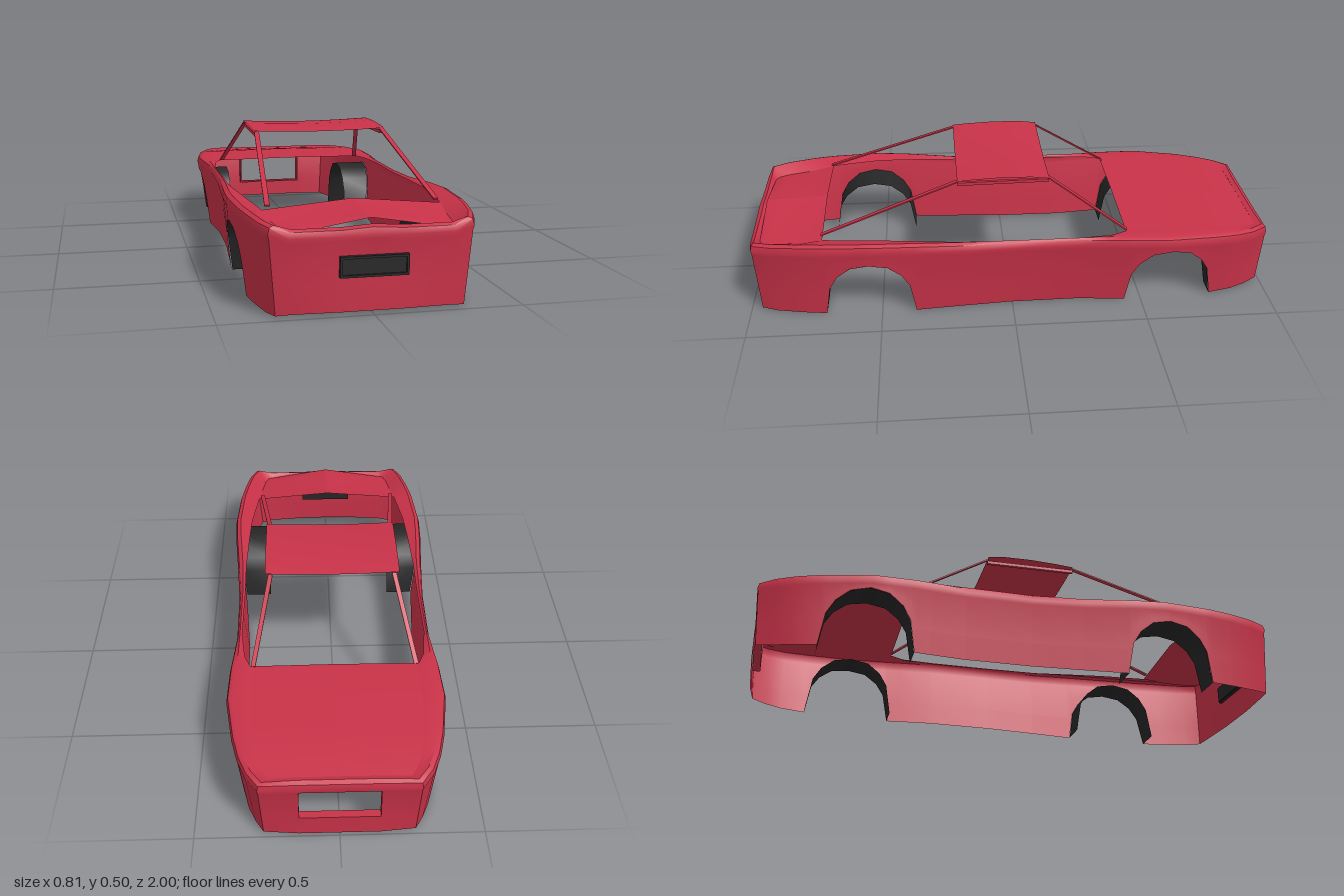
import * as THREE from 'three';
import { toCreasedNormals } from 'three/addons/utils/BufferGeometryUtils.js';

const red = new THREE.MeshStandardMaterial({ color: 0xc83248, side: THREE.DoubleSide });
const black = new THREE.MeshStandardMaterial({ color: 0x262626, side: THREE.DoubleSide });

// Flank stations, front to back: z, half width, top height, inner edge x, inner edge y
const FLANK = [
  [0.9, 0.362, 0.3, 0.285, 0.268],
  [0.8, 0.382, 0.305, 0.3, 0.275],
  [0.71, 0.395, 0.307, 0.31, 0.291],
  [0.52, 0.407, 0.308, 0.335, 0.296],
  [0.4, 0.402, 0.303, 0.342, 0.292],
  [0.2, 0.386, 0.29, 0.35, 0.283],
  [0, 0.372, 0.285, 0.348, 0.278],
  [-0.25, 0.37, 0.285, 0.35, 0.277],
  [-0.38, 0.382, 0.285, 0.335, 0.278],
  [-0.44, 0.388, 0.285, 0.31, 0.28],
  [-0.6, 0.394, 0.282, 0.31, 0.277],
  [-0.78, 0.368, 0.272, 0.3, 0.27],
  [-0.87, 0.346, 0.265, 0.28, 0.26],
];

// Wheel arch openings: offset from centre z, height
const ARCH = [[0.17, 0], [0.15, 0.12], [0.12, 0.17], [0.07, 0.21], [0, 0.223],
  [-0.07, 0.21], [-0.12, 0.17], [-0.15, 0.12], [-0.17, 0]];
const ARCH_Z = [0.54, -0.606];

function interp(table, z) {
  const i = Math.max(1, table.findIndex((r) => r[0] <= z + 1e-6));
  const a = table[i - 1], b = table[i];
  const t = (a[0] - z) / (a[0] - b[0]);
  return a.map((v, k) => v + (b[k] - v) * t);
}

function bottomAt(z) {
  const c = ARCH_Z.find((c) => Math.abs(z - c) < 0.17);
  return c === undefined ? 0 : interp(ARCH, z - c)[1];
}

// Surface through rows of [x, y, z] points, mirrored when s is -1
function surface(rows, s = 1, skip = () => false, crease = 0.6) {
  const n = rows[0].length, index = [];
  for (let i = 0; i < rows.length - 1; i++) {
    for (let j = 0; j < n - 1; j++) {
      if (skip(i, j)) continue;
      const a = i * n + j, b = a + n, c = b + 1, d = a + 1;
      index.push(...(s > 0 ? [a, b, c, a, c, d] : [a, c, b, a, d, c]));
    }
  }
  const g = new THREE.BufferGeometry();
  const pos = rows.flat().flatMap(([x, y, z]) => [x * s, y, z]);
  g.setAttribute('position', new THREE.Float32BufferAttribute(pos, 3));
  g.setIndex(index);
  return toCreasedNormals(g, crease);
}

// Half outline of the shell: corner stations around the interpolated flank
function stations() {
  const st = (x, z, top, xi, zi, yi, bottom) => ({ x, z, top, xi, zi, yi, bottom });
  const zs = FLANK.map((r) => r[0]);
  ARCH_Z.forEach((c) => ARCH.forEach(([dz]) => zs.push(c + dz)));
  zs.sort((a, b) => b - a);
  const flank = zs.filter((z, i) => i === 0 || zs[i - 1] - z > 0.004).map((z) => {
    const [, w, top, xi, yi] = interp(FLANK, z);
    return st(w, z, top, xi, z, yi, bottomAt(z));
  });
  return [
    st(0, 0.988, 0.287, 0, 0.95, 0.28, 0.01),
    st(0.1, 0.988, 0.28, 0.1, 0.95, 0.272, 0.01),
    st(0.27, 0.985, 0.28, 0.25, 0.95, 0.262, 0.008),
    st(0.335, 0.972, 0.295, 0.272, 0.94, 0.264, 0.003),
    ...flank,
    st(0.318, -0.94, 0.26, 0.262, -0.925, 0.253, 0.003),
    st(0.275, -1, 0.256, 0.24, -0.96, 0.248, 0.01),
    st(0.14, -1, 0.256, 0.14, -0.96, 0.25, 0.01),
    st(0, -1, 0.256, 0, -0.96, 0.251, 0.01),
  ];
}

// Cross-section of the shell at a station, from sill to inner edge
function section(p) {
  const dx = p.xi - p.x, dz = p.zi - p.z, len = Math.hypot(dx, dz);
  const ux = dx / len, uz = dz / len, shoulder = p.top - 0.043;
  const at = (inset, y) => [p.x + ux * inset, y, p.z + uz * inset];
  const wall = (t) => {
    const y = p.bottom + (shoulder - p.bottom) * t;
    return at(0.004 + 0.026 * Math.abs(ux) * (1 - y / shoulder), y);
  };
  return [wall(0), wall(0.37), wall(1), at(0, shoulder + 0.016), at(0.006, p.top - 0.007),
    at(Math.min(0.022, len * 0.6), p.top), [p.xi, p.yi, p.zi]];
}

// Panel row from the inner edge to the centre line
function panelRow(p, crown) {
  return [1, 0.75, 0.5, 0.25, 0].map((t) => [p.xi * t, p.yi + crown * (1 - t), p.zi]);
}

// Rectangular frame with an opening
function frame(w, h, border, depth) {
  const rect = (S, a, b) => new S([[-a, -b], [a, -b], [a, b], [-a, b]].map(([x, y]) => new THREE.Vector2(x, y)));
  const shape = rect(THREE.Shape, w / 2, h / 2);
  shape.holes.push(rect(THREE.Path, w / 2 - border, h / 2 - border));
  return new THREE.ExtrudeGeometry(shape, { depth, bevelEnabled: false });
}

export function createModel() {
  const model = new THREE.Group();
  const add = (name, geometry, material = red) => {
    const m = new THREE.Mesh(geometry, material);
    m.name = name;
    model.add(m);
    return m;
  };
  // Thin flat bar between two points
  const bar = (name, a, b, w, t) => {
    const A = new THREE.Vector3(...a), B = new THREE.Vector3(...b);
    const m = add(name, new THREE.BoxGeometry(w, t, A.distanceTo(B)));
    m.position.copy(A).lerp(B, 0.5);
    m.lookAt(B);
  };

  const all = stations();
  const rows = all.map(section);
  const grille = (i, j) => i === rows.length - 2 && j === 1;
  const frontDeck = all.filter((p) => p.zi > 0.705 && p.x > 0.2)
    .map((p) => panelRow(p, 0.028 + 0.055 * (p.zi - 0.71)));
  const rearDeck = all.filter((p) => p.zi < -0.435 && p.x > 0.2).map((p) => panelRow(p, 0.003));

  for (const s of [1, -1]) {
    const side = s > 0 ? 'left' : 'right';
    add(side + 'BodyShell', surface(rows, s, grille));
    add(side + 'FrontDeck', surface(frontDeck, s));
    add(side + 'RearDeck', surface(rearDeck, s));

    // Wheel arch liners
    ARCH_Z.forEach((c, k) => {
      const liner = ARCH.map(([dz, y]) => {
        const w = interp(FLANK, c + dz)[1] - 0.03 * (1 - y / 0.25) - 0.004;
        return [[w, y, c + dz], [0.26, y, c + dz]];
      });
      add(side + (k ? 'Rear' : 'Front') + 'ArchLiner', surface(liner, s, undefined, 1), black);
    });

    // Roof pillars and side rail
    bar(side + 'FrontPillar', [0.293 * s, 0.305, 0.715], [0.245 * s, 0.484, 0.2], 0.018, 0.005);
    bar(side + 'RearPillar', [0.302 * s, 0.282, -0.44], [0.236 * s, 0.484, -0.145], 0.017, 0.005);
    bar(side + 'RoofRail', [0.245 * s, 0.473, 0.2], [0.236 * s, 0.473, -0.145], 0.012, 0.012);
  }

  // Roof skin, slightly dished across
  const roof = [[0.2, 0.488], [0.14, 0.493], [0.03, 0.498], [-0.08, 0.496], [-0.145, 0.488]]
    .map(([z, y]) => [1, 0.6, 0.25, 0, -0.25, -0.6, -1].map((t) => [0.257 * t, y - 0.007 * (1 - t * t), z]));
  add('roof', surface(roof));

  // Rear opening surround
  add('rearOpeningFrame', frame(0.29, 0.138, 0.006, 0.03)).position.set(0, 0.149, -0.994);

  // Front plate with raised border
  add('plate', new THREE.BoxGeometry(0.215, 0.06, 0.026), black).position.set(0, 0.158, 0.98);
  add('plateBorder', frame(0.224, 0.068, 0.008, 0.03), black).position.set(0, 0.158, 0.97);

  return model;
}
